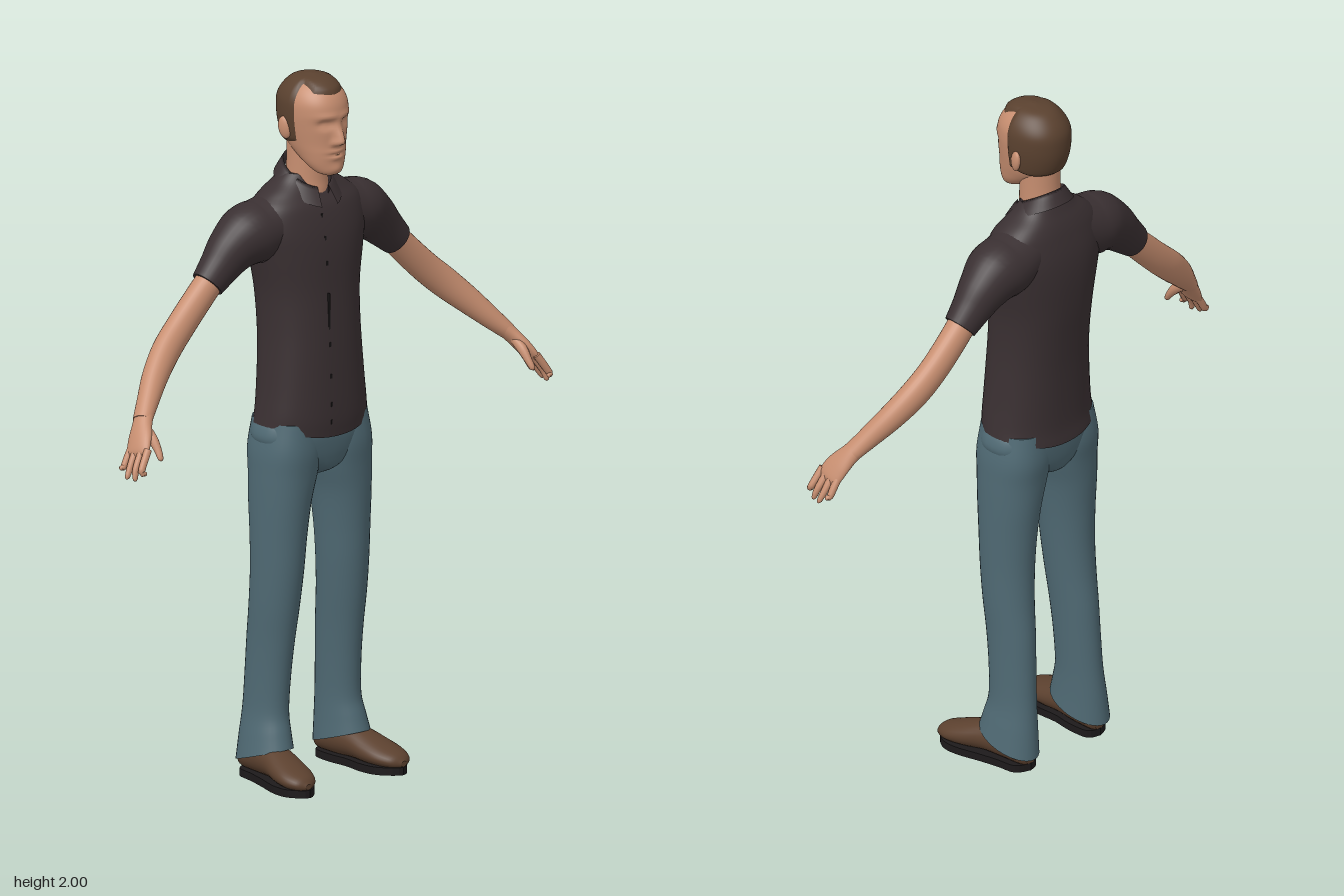
import * as THREE from 'three';

const mat = (name, color, side = THREE.FrontSide) => {
  const m = new THREE.MeshStandardMaterial({ color, side });
  m.name = name;
  return m;
};

// Cross-section row for an upright part: height, x range, front z, back z, squareness
const row = (y, x0, x1, zf, zb, n = 2) =>
  [(x0 + x1) / 2, y, (zf + zb) / 2, (x1 - x0) / 2, (zf - zb) / 2, n];

// Smooth skin through rows [x, y, z, radiusAcross, radiusUp, squareness].
// A fixed dir keeps every ring parallel, otherwise rings follow the path.
function loft(rows, { dir, up = [0, 0, 1], seg = 28, sub = 5, warp } = {}) {
  const V = (a) => new THREE.Vector3(...a);
  const path = new THREE.CatmullRomCurve3(rows.map((r) => V(r.slice(0, 3))), false, 'catmullrom', 0.5);
  const size = new THREE.CatmullRomCurve3(rows.map((r) => V([r[3], r[4], r[5] ?? 2])), false, 'catmullrom', 0.5);
  const steps = (rows.length - 1) * sub, pos = [], idx = [];
  const pw = (c, n) => Math.sign(c) * Math.abs(c) ** (2 / n);
  for (let i = 0; i <= steps; i++) {
    const c = path.getPoint(i / steps), s = size.getPoint(i / steps);
    const t = dir ? V(dir) : path.getTangent(i / steps);
    const u = V(up).addScaledVector(t, -V(up).dot(t)).normalize();
    const v = t.clone().cross(u);
    for (let j = 0; j < seg; j++) {
      const a = (j / seg) * Math.PI * 2;
      const p = c.clone().addScaledVector(v, s.x * pw(Math.cos(a), s.z))
        .addScaledVector(u, s.y * pw(Math.sin(a), s.z));
      if (warp) warp(p, c, s);
      pos.push(p.x, p.y, p.z);
    }
  }
  for (let i = 0; i < steps; i++) for (let j = 0; j < seg; j++) {
    const a = i * seg + j, b = i * seg + (j + 1) % seg;
    idx.push(a, a + seg, b, b, a + seg, b + seg);
  }
  // flat end caps on their own vertices
  for (const end of [0, 1]) {
    const from = end * steps * seg, base = pos.length / 3, mid = [0, 0, 0];
    for (let j = 0; j < seg; j++) for (let k = 0; k < 3; k++) {
      const q = pos[(from + j) * 3 + k];
      mid[k] += q / seg;
      pos.push(q);
    }
    pos.push(...mid);
    for (let j = 0; j < seg; j++) {
      const a = base + j, b = base + (j + 1) % seg;
      idx.push(base + seg, end ? b : a, end ? a : b);
    }
  }
  const g = new THREE.BufferGeometry();
  g.setAttribute('position', new THREE.Float32BufferAttribute(pos, 3));
  g.setIndex(idx);
  g.computeVertexNormals();
  return g;
}

const bump = (x, y, cx, cy, sx, sy) => Math.exp(-(((x - cx) / sx) ** 2) - ((y - cy) / sy) ** 2);

// Facial relief pushed in and out of the front of the head
function face(p) {
  if (p.z < 0.0) return;
  const x = Math.abs(p.x), y = p.y;
  p.z += 0.03 * bump(x, y, 0, 1.829, 0.013, y > 1.829 ? 0.036 : 0.011)
    + 0.008 * bump(x, y, 0.014, 1.826, 0.008, 0.008)
    - 0.015 * bump(x, y, 0.034, 1.879, 0.019, 0.012)
    + 0.006 * bump(x, y, 0.034, 1.877, 0.011, 0.006)
    + 0.005 * bump(x, y, 0.03, 1.9, 0.03, 0.009)
    + 0.006 * bump(x, y, 0, 1.8, 0.024, 0.006)
    - 0.005 * bump(x, y, 0, 1.791, 0.026, 0.004)
    + 0.006 * bump(x, y, 0, 1.782, 0.02, 0.006)
    + 0.005 * bump(x, y, 0, 1.748, 0.022, 0.014);
}

// Hair rises out of the scalp where this is positive
function hairline(p) {
  const x = Math.abs(p.x);
  const fringe = Math.min(p.y - 1.958 - 0.1 * x, 0.05 - x);
  const f = Math.min(Math.max(0.0 - p.z, fringe), p.y - 1.808 - 0.25 * Math.max(0, p.z + 0.06));
  return THREE.MathUtils.clamp(f * 0.6, -0.005, 0.006);
}

export function createModel() {
  const skin = mat('skin', 0xc78e70), shirt = mat('shirt', 0x3a3032), denim = mat('denim', 0x4f6973);
  const hairMat = mat('hair', 0x5a412f), leather = mat('shoe leather', 0x5c412f);
  const black = mat('black sole', 0x1d1a1b), collarMat = mat('collar', 0x3a3032, THREE.DoubleSide);
  const model = new THREE.Group();
  model.name = 'standingMan';
  const add = (name, geo, m) => {
    const mesh = new THREE.Mesh(geo, m);
    mesh.name = name;
    model.add(mesh);
    return mesh;
  };
  const Y = [0, 1, 0];
  const sym = (y, rx, zf, zb, n) => row(y, -rx, rx, zf, zb, n);

  // Head, hair and neck
  const headRows = [
    sym(1.728, 0.018, 0.07, 0.045), sym(1.737, 0.038, 0.082, 0.01), sym(1.76, 0.055, 0.086, -0.03),
    sym(1.79, 0.066, 0.088, -0.075, 2.1), sym(1.82, 0.074, 0.087, -0.105, 2.1), sym(1.86, 0.081, 0.089, -0.12, 2.1),
    sym(1.9, 0.085, 0.091, -0.125, 2.1), sym(1.935, 0.083, 0.085, -0.122, 2.1), sym(1.965, 0.069, 0.067, -0.104),
    sym(1.987, 0.044, 0.035, -0.074), sym(1.995, 0.006, -0.012, -0.026),
  ];
  const headOpts = { dir: Y, seg: 80, sub: 6 };
  add('head', loft(headRows, { ...headOpts, warp: face }), skin);
  add('hair', loft(headRows, {
    ...headOpts,
    warp: (p, c) => {
      face(p);
      const out = p.clone().sub(new THREE.Vector3(0, 1.87, -0.02)).normalize();
      p.addScaledVector(out, hairline(p));
    },
  }), hairMat);
  add('neck', loft([sym(1.62, 0.06, 0.018, -0.11), sym(1.665, 0.06, 0.02, -0.11), sym(1.7, 0.058, 0.016, -0.106),
    sym(1.75, 0.057, 0.014, -0.1), sym(1.82, 0.058, 0.01, -0.098)], { dir: Y }), skin);

  // Shirt body with a curved tail
  const torso = [
    [0.985, 0.171, 0.086, -0.153], [1.05, 0.165, 0.09, -0.147], [1.2, 0.152, 0.086, -0.15], [1.3, 0.148, 0.081, -0.157],
    [1.4, 0.153, 0.075, -0.166], [1.5, 0.172, 0.07, -0.17], [1.57, 0.185, 0.06, -0.165], [1.63, 0.175, 0.042, -0.151],
    [1.665, 0.14, 0.02, -0.139], [1.695, 0.095, 0.004, -0.124], [1.72, 0.07, -0.005, -0.112]];
  add('shirtBody', loft(torso.map((r) => sym(...r, 2.3)), {
    dir: Y, seg: 48,
    warp: (p) => { p.y += 0.032 * (p.x / 0.17) ** 2 * Math.max(0, 1 - (p.y - 0.985) / 0.12); },
  }), shirt);

  // Collar folded over around the neck, open at the front
  const collar = new THREE.PlaneGeometry(1, 1, 40, 6), cp = collar.attributes.position;
  for (let i = 0; i < cp.count; i++) {
    const a = 0.3 + (cp.getX(i) + 0.5) * (2 * Math.PI - 0.6), v = cp.getY(i) + 0.5;
    const fall = Math.max(0, v - 0.35) / 0.65, rise = Math.min(1, v / 0.35), c = Math.cos(a);
    const front = Math.max(0, c) ** 2;
    cp.setXYZ(i, (0.063 + 0.03 * fall) * Math.sin(a), 1.727 - 0.04 * c - 0.04 * (1 - rise) - (0.042 + 0.012 * front) * fall,
      -0.043 + (0.069 + 0.022 * fall + 0.012 * front * fall) * c);
  }
  collar.computeVertexNormals();
  add('collar', collar, collarMat);

  // Button line down the chest
  const chestZ = (y) => {
    const k = torso.findIndex((r) => r[0] > y), [a, b] = [torso[k - 1], torso[k]];
    return a[2] + ((b[2] - a[2]) * (y - a[0])) / (b[0] - a[0]);
  };
  for (const [y, h] of [[1.03, 0.012], [1.08, 0.012], [1.16, 0.012], [1.25, 0.012], [1.34, 0.11], [1.48, 0.012], [1.55, 0.012], [1.61, 0.012]]) {
    add('placketStitch', new THREE.BoxGeometry(0.005, h, 0.008), black).position.set(-0.024, y, chestZ(y) - 0.002);
  }

  // Hips of the trousers
  add('trouserSeat', loft([sym(0.862, 0.02, 0.01, -0.07), sym(0.885, 0.07, 0.055, -0.12), sym(0.92, 0.13, 0.069, -0.135, 2.3),
    sym(0.97, 0.176, 0.076, -0.142, 2.4), sym(1.01, 0.175, 0.076, -0.142, 2.4), sym(1.05, 0.15, 0.07, -0.13, 2.4)], { dir: Y, seg: 40 }), denim);

  for (const s of [1, -1]) {
    const side = s > 0 ? 'left' : 'right';
    const flip = (rows) => rows.map((r) => [r[0] * s, ...r.slice(1)]);

    // Ear
    const ear = new THREE.SphereGeometry(1, 16, 12);
    ear.scale(0.011, 0.032, 0.02).rotateX(-0.2).rotateY(s * -0.35).translate(s * 0.087, 1.857, -0.035);
    add(side + 'Ear', ear, skin);

    // Sleeve and bare arm
    add(side + 'Sleeve', loft(flip([[0.08, 1.6, -0.06, 0.075, 0.085], [0.15, 1.573, -0.063, 0.086, 0.088],
      [0.2, 1.562, -0.065, 0.086, 0.085], [0.25, 1.532, -0.068, 0.071, 0.069], [0.295, 1.49, -0.068, 0.058, 0.055],
      [0.338, 1.449, -0.067, 0.048, 0.046]])), shirt);
    add(side + 'Arm', loft(flip([[0.3, 1.485, -0.067, 0.04, 0.04], [0.37, 1.415, -0.067, 0.042, 0.038],
      [0.44, 1.348, -0.062, 0.043, 0.037], [0.5, 1.295, -0.05, 0.043, 0.037], [0.56, 1.24, -0.025, 0.038, 0.035],
      [0.615, 1.185, 0.008, 0.03, 0.031], [0.655, 1.145, 0.033, 0.023, 0.029]])), skin);

    // Hand: palm, four fingers and thumb
    add(side + 'Palm', loft(flip([[0.64, 1.16, 0.024, 0.023, 0.028], [0.662, 1.135, 0.04, 0.021, 0.031],
      [0.685, 1.105, 0.058, 0.018, 0.039], [0.704, 1.075, 0.072, 0.014, 0.04], [0.712, 1.062, 0.077, 0.006, 0.03]])), skin);
    [[0.106, 0.126, 1.02, 0.725], [0.084, 0.1, 1.002, 0.738], [0.062, 0.074, 1.003, 0.744], [0.042, 0.046, 1.022, 0.742]]
      .forEach(([z0, z1, y1, x1]) => add(side + 'Finger', loft(flip([[0.697, 1.085, z0, 0.011, 0.011],
        [0.717, 1.055, (z0 * 2 + z1) / 3, 0.0105, 0.011], [0.732, 1.03, (z0 + z1 * 2) / 3, 0.0095, 0.0095],
        [x1, y1 + 0.006, z1, 0.007, 0.007], [x1 + 0.001, y1, z1, 0.002, 0.002]]), { seg: 12, sub: 3 }), skin));
    add(side + 'Thumb', loft(flip([[0.66, 1.13, 0.05, 0.013, 0.014], [0.663, 1.105, 0.085, 0.014, 0.015],
      [0.664, 1.08, 0.108, 0.011, 0.011], [0.667, 1.058, 0.124, 0.008, 0.008], [0.668, 1.052, 0.127, 0.002, 0.002]]),
    { seg: 12, sub: 3 }), skin);

    // Trouser leg, its hem dipping at the heel
    add(side + 'TrouserLeg', loft(flip([row(0.07, 0.072, 0.204, 0.036, -0.156), row(0.13, 0.075, 0.194, 0.024, -0.15),
      row(0.2, 0.076, 0.183, 0.011, -0.142), row(0.3, 0.072, 0.18, 0.015, -0.136), row(0.4, 0.066, 0.18, 0.026, -0.13),
      row(0.5, 0.058, 0.183, 0.04, -0.12), row(0.6, 0.05, 0.184, 0.051, -0.116), row(0.7, 0.042, 0.185, 0.058, -0.12),
      row(0.8, 0.03, 0.185, 0.065, -0.128, 2.1), row(0.88, 0.01, 0.184, 0.07, -0.133, 2.2), row(0.95, 0, 0.181, 0.074, -0.139, 2.3),
      row(1.03, 0.01, 0.166, 0.066, -0.13, 2.3)]), {
      dir: Y, seg: 36,
      warp: (p) => { p.y += (p.z + 0.06) * 0.32 * Math.max(0, 1 - (p.y - 0.07) / 0.12); },
    }), denim);

    // Shoe upper and sole
    add(side + 'Shoe', loft(flip([[0.135, 0.04, -0.14, 0.02, 0.02], [0.137, 0.055, -0.125, 0.043, 0.038],
      [0.14, 0.065, -0.06, 0.048, 0.05], [0.147, 0.063, 0, 0.05, 0.046], [0.157, 0.051, 0.06, 0.056, 0.038],
      [0.165, 0.042, 0.11, 0.054, 0.029], [0.169, 0.036, 0.148, 0.037, 0.02], [0.171, 0.031, 0.166, 0.01, 0.008]]),
    { dir: [0, 0, 1], up: Y }), leather);
    const outline = [[0.136, 0.142], [0.1, 0.125], [0.095, 0.06], [0.102, 0], [0.1, -0.07], [0.116, -0.125], [0.168, -0.168],
      [0.212, -0.125], [0.217, -0.07], [0.2, 0], [0.187, 0.06], [0.177, 0.12]].map(([x, y]) => new THREE.Vector2(x * s, y));
    const sole = new THREE.Shape(new THREE.SplineCurve([...outline, outline[0]]).getPoints(48).slice(0, -1));
    const soleGeo = new THREE.ExtrudeGeometry(sole, { depth: 0.022, bevelEnabled: false });
    soleGeo.rotateX(-Math.PI / 2);
    add(side + 'Sole', soleGeo, black);
  }
  return model;
}
